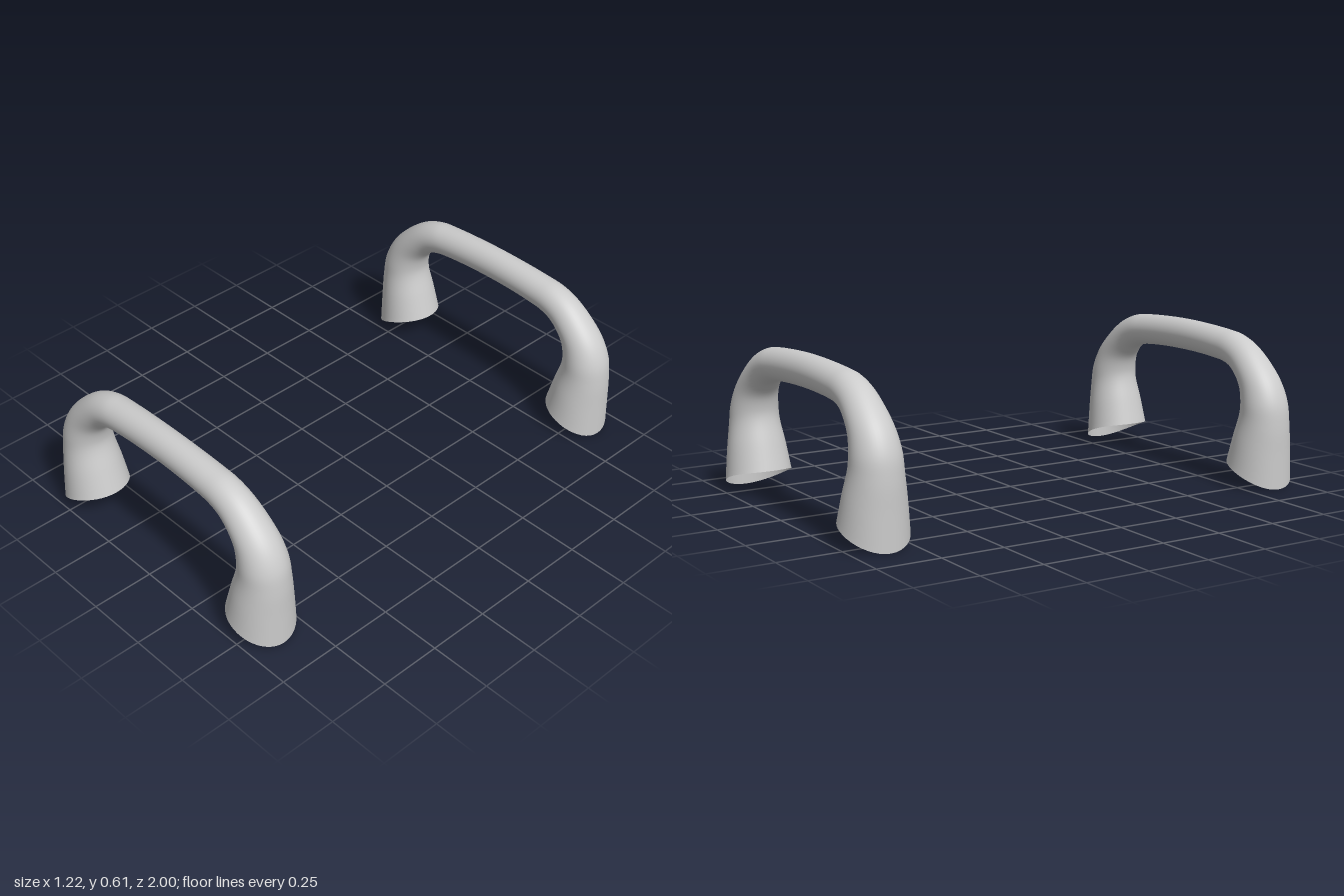
import * as THREE from 'three';

// Half-handle stations from foot to middle: outer x,y | inner x,y | half depth | foot rim bulge
const STATIONS = [
  [0.61, 0.00, 0.36, 0.10, 0.13, 0.016],
  [0.61, 0.13, 0.389, 0.205, 0.116, 0.008],
  [0.61, 0.25, 0.414, 0.295, 0.1, 0],
  [0.60, 0.338, 0.415, 0.335, 0.094, 0],
  [0.564, 0.42, 0.40, 0.387, 0.085, 0],
  [0.498, 0.495, 0.36, 0.434, 0.077, 0],
  [0.416, 0.558, 0.325, 0.454, 0.071, 0],
  [0.334, 0.59, 0.28, 0.467, 0.068, 0],
  [0.26, 0.599, 0.22, 0.474, 0.066, 0],
  [0.13, 0.607, 0.12, 0.48, 0.064, 0],
  [0, 0.61, 0, 0.482, 0.063, 0],
];
const RINGS = 96, SIDES = 40;

// Tapered tube skinned over elliptical cross-sections, open at both feet
function handleGeometry() {
  const mirrored = STATIONS.slice(0, -1).reverse().map(([ox, oy, ix, iy, d, b]) => [-ox, oy, -ix, iy, d, b]);
  const all = [...STATIONS, ...mirrored];
  const outer = new THREE.CatmullRomCurve3(all.map(s => new THREE.Vector3(s[0], s[1], s[4])));
  const inner = new THREE.CatmullRomCurve3(all.map(s => new THREE.Vector3(s[2], s[3], s[5])));
  const pos = [], index = [];
  for (let i = 0; i <= RINGS; i++) {
    const o = outer.getPoint(i / RINGS), n = inner.getPoint(i / RINGS);
    for (let j = 0; j < SIDES; j++) {
      const a = j / SIDES * Math.PI * 2, c = Math.cos(a), s = Math.sin(a);
      pos.push(
        (o.x + n.x) / 2 + c * (o.x - n.x) / 2,
        (o.y + n.y) / 2 + c * (o.y - n.y) / 2 + n.z * s * s,
        s * o.z);
      if (i < RINGS) {
        const p = i * SIDES + j, q = i * SIDES + (j + 1) % SIDES;
        index.push(p, p + SIDES, q, q, p + SIDES, q + SIDES);
      }
    }
  }
  const geo = new THREE.BufferGeometry();
  geo.setAttribute('position', new THREE.Float32BufferAttribute(pos, 3));
  geo.setIndex(index);
  geo.computeVertexNormals();
  return geo;
}

export function createModel() {
  const group = new THREE.Group();
  group.name = 'handlePair';
  const material = new THREE.MeshStandardMaterial({ color: 0xcccccc, side: THREE.DoubleSide });
  const geo = handleGeometry();
  // One handle at the front, one at the back
  for (const [name, z] of [['frontHandle', 0.87], ['backHandle', -0.87]]) {
    const handle = new THREE.Mesh(geo, material);
    handle.name = name;
    handle.position.z = z;
    group.add(handle);
  }
  return group;
}
